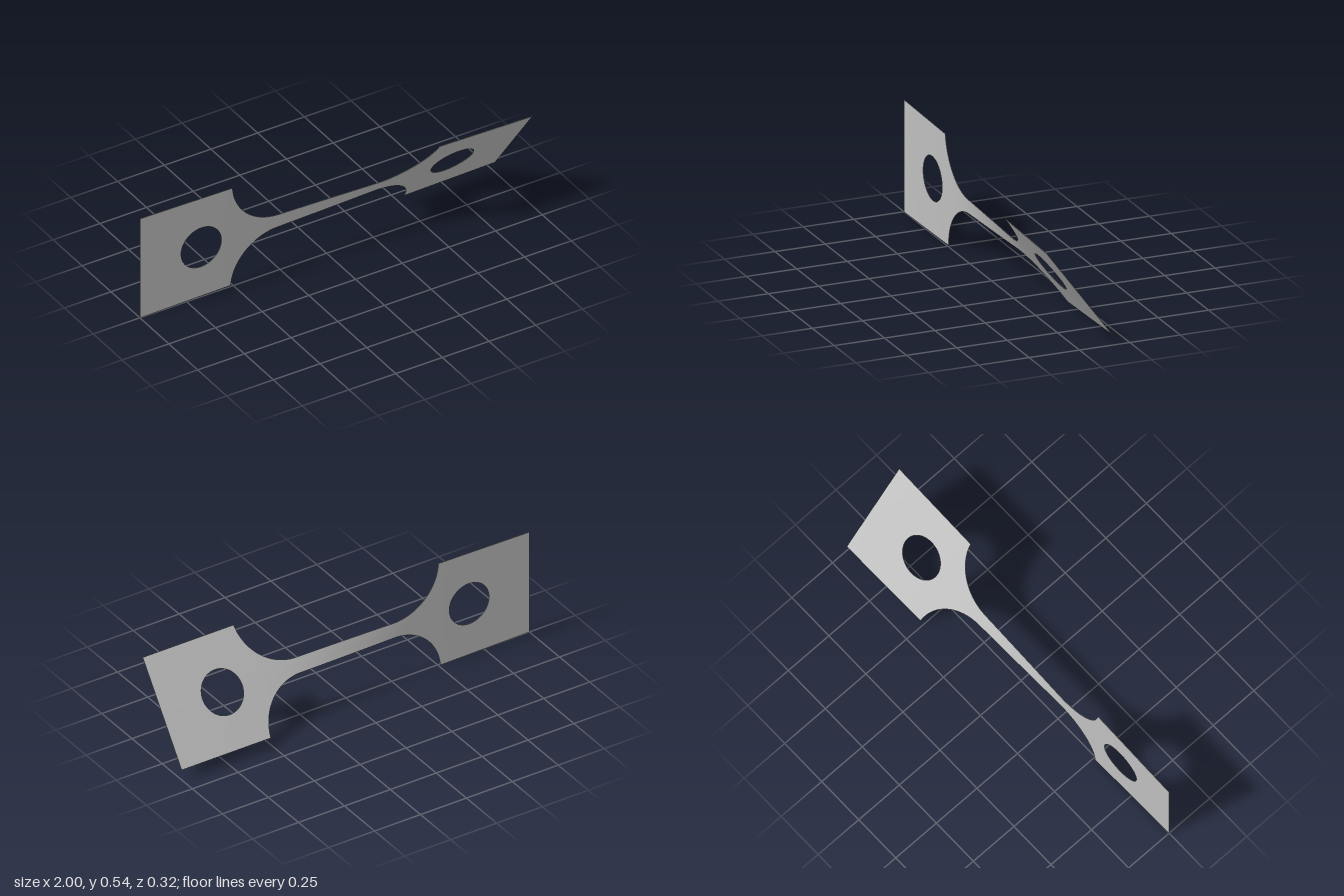
import * as THREE from 'three';

const CENTER_Y = 0.2715, PLATE_H = 0.2715, NECK_H = 0.037, FILLET_R = 0.25, FILLET_X = 0.26;
const HOLE_X = 0.672, HOLE_R = 0.108, THICK = 0.002, TWIST = THREE.MathUtils.degToRad(36.5);
const FILLET_Y = NECK_H + FILLET_R;
const EDGE_ANGLE = Math.asin((FILLET_Y - PLATE_H) / FILLET_R);
const PLATE_X = FILLET_X + FILLET_R * Math.cos(EDGE_ANGLE);

// Half width of the flat bar at x: neck, rounded fillet, then plate
function halfWidth(x) {
  const u = Math.abs(x) - FILLET_X;
  if (u <= 0) return NECK_H;
  if (Math.abs(x) >= PLATE_X - 1e-6) return PLATE_H;
  return FILLET_Y - Math.sqrt(FILLET_R ** 2 - u * u);
}

const holeHalf = x => Math.sqrt(Math.max(0, HOLE_R ** 2 - (Math.abs(x) - HOLE_X) ** 2));

// Twist builds up fastest where the bar is narrow
const STEPS = 2000, twistSum = [0];
for (let i = 0; i < STEPS; i++) {
  const x = -1 + (i + 0.5) * 2 / STEPS;
  twistSum.push(twistSum[i] + halfWidth(x) ** -1.25);
}
function twistAt(x) {
  const t = (x + 1) / 2 * STEPS;
  const i = Math.min(STEPS - 1, Math.max(0, Math.floor(t)));
  return TWIST * THREE.MathUtils.lerp(twistSum[i], twistSum[i + 1], t - i) / twistSum[STEPS];
}

// Strips of quads between cross-sections, for the upper and lower half of the bar
function barGeometry(xs) {
  const pos = [], index = [];
  const quad = (a, b, c, d, flip) =>
    flip ? index.push(a, c, b, a, d, c) : index.push(a, b, c, a, c, d);
  const addPoint = (x, v, w) => {
    const t = twistAt(x), s = Math.sin(t), c = Math.cos(t);
    pos.push(x, CENTER_Y + v * c - w * s, v * s + w * c);
  };
  for (const side of [1, -1]) {
    const flip = side < 0;
    const corners = x => {
      const inner = side * holeHalf(x), outer = side * halfWidth(x), w = THICK / 2;
      return [[inner, w], [outer, w], [outer, -w], [inner, -w]];
    };
    // front, outer edge, back, hole wall
    for (let k = 0; k < 4; k++) {
      const base = pos.length / 3;
      xs.forEach((x, i) => {
        const c = corners(x);
        addPoint(x, ...c[k]);
        addPoint(x, ...c[(k + 1) % 4]);
        if (i === 0) return;
        if (k === 3 && holeHalf((x + xs[i - 1]) / 2) < 1e-5) return;
        const b = base + 2 * i;
        quad(b - 2, b, b + 1, b - 1, flip);
      });
    }
    // end faces of the bar
    for (const x of [xs[0], xs[xs.length - 1]]) {
      if (Math.abs(x) < 1) continue;
      const b = pos.length / 3;
      corners(x).forEach(c => addPoint(x, ...c));
      quad(b, b + 1, b + 2, b + 3, (x > 0) !== flip);
    }
  }
  const geo = new THREE.BufferGeometry();
  geo.setAttribute('position', new THREE.Float32BufferAttribute(pos, 3));
  geo.setIndex(index);
  geo.computeVertexNormals();
  return geo;
}

const samples = (n, f) => Array.from({ length: n + 1 }, (_, i) => f(i / n));

export function createModel() {
  const steel = new THREE.MeshStandardMaterial({ color: 0xbfbfbf });
  steel.name = 'light grey metal';
  const group = new THREE.Group();
  group.name = 'twistedTestBar';

  // Sections are denser round the holes and along the fillets
  const leftXs = [-1, -0.89,
    ...samples(48, t => -HOLE_X - HOLE_R * Math.cos(Math.PI * t)), -0.535, -PLATE_X];
  const filletXs = samples(28, t => {
    const a = THREE.MathUtils.lerp(EDGE_ANGLE, Math.PI / 2, t);
    return -FILLET_X - FILLET_R * Math.cos(a);
  });
  const mirror = xs => xs.map(x => -x).reverse();
  const neckXs = [...filletXs,
    ...samples(24, t => FILLET_X * (2 * t - 1)).slice(1, -1), ...mirror(filletXs)];

  const parts = { rightPlate: leftXs, neck: neckXs, leftPlate: mirror(leftXs) };
  for (const [name, xs] of Object.entries(parts)) {
    const mesh = new THREE.Mesh(barGeometry(xs), steel);
    mesh.name = name;
    group.add(mesh);
  }
  return group;
}
